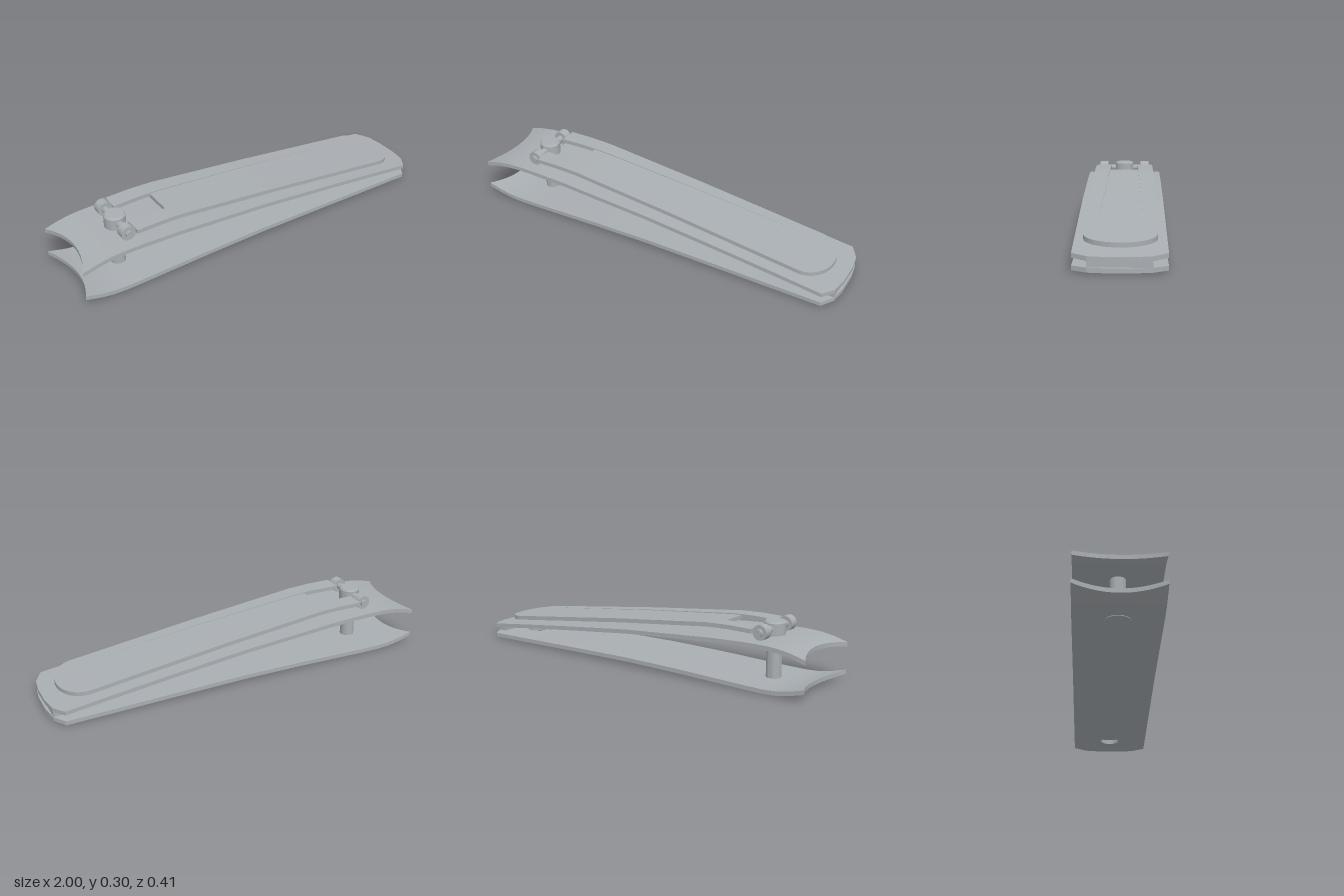
import * as THREE from 'three';
import { toCreasedNormals } from 'three/addons/utils/BufferGeometryUtils.js';

const steel = new THREE.MeshStandardMaterial({ color: 0xa9aeb2 });
steel.name = 'steel';

const lerp = THREE.MathUtils.lerp;
const T = 0.021; // sheet thickness
const HALF = 0.206; // jaw half width
const POST_X = -0.725;

// height of a side profile at x
function heightAt(points, x) {
  let i = 0;
  while (i < points.length - 2 && x > points[i + 1][0]) i++;
  const [x0, y0] = points[i], [x1, y1] = points[i + 1];
  return lerp(y0, y1, (x - x0) / (x1 - x0));
}

function mesh(geometry, name) {
  const m = new THREE.Mesh(geometry, steel);
  m.name = name;
  return m;
}

// sheet of metal: place(u, v) gives [x, z], top(x) gives the upper surface
function sheet(name, nu, nv, place, top) {
  const g = new THREE.BoxGeometry(1, 1, 1, nu, 1, nv);
  const p = g.attributes.position;
  for (let i = 0; i < p.count; i++) {
    const [x, z] = place(p.getX(i) + 0.5, p.getZ(i) + 0.5);
    p.setXYZ(i, x, top(x) + (p.getY(i) - 0.5) * T, z);
  }
  return mesh(toCreasedNormals(g, 0.4), name);
}

// jaw: curved body with a concave cutting end, and a chamfered tip with a hole
function jaw(name, profile) {
  const group = new THREE.Group();
  group.name = name;
  const top = (x) => heightAt(profile, x);
  const seam = 0.7;
  group.add(sheet(name + 'Body', 48, 24, (u, v) => {
    const s = v * 2 - 1;
    return [lerp(-0.945 - 0.055 * s * s, seam, u), s * HALF];
  }, top));

  const shape = new THREE.Shape();
  shape.moveTo(seam, -HALF);
  for (const [x, z] of [[0.945, -HALF], [0.988, -0.14], [1, -0.06], [1, 0.06], [0.988, 0.14], [0.945, HALF], [seam, HALF]]) shape.lineTo(x, z);
  shape.closePath();
  shape.holes.push(new THREE.Path().absarc(0.82, 0, 0.05, 0, Math.PI * 2, true));
  const g = new THREE.ExtrudeGeometry(shape, { depth: T, bevelEnabled: false, curveSegments: 24 });
  g.rotateX(-Math.PI / 2);
  const p = g.attributes.position;
  for (let i = 0; i < p.count; i++) p.setY(i, p.getY(i) - T + top(p.getX(i)));
  group.add(mesh(toCreasedNormals(g, 0.4), name + 'Tip'));
  return group;
}

// lever: two side rails forming a fork, and a slightly sunken centre panel
function lever() {
  const group = new THREE.Group();
  group.name = 'lever';
  const W = 0.162, back = -0.69, slotEnd = -0.49;
  const railTop = (x) => heightAt([[-0.7, 0.283], [-0.56, 0.285], [-0.45, 0.281], [0.1, 0.222], [0.925, 0.121]], x);
  const panelTop = (x) => railTop(x) - 0.005 * Math.max(0, (0.8 - x) / 1.3);
  const inner = (x) => lerp(0.073, 0.112, (x - back) / 1.6);
  const tip = (z) => 0.8 + 0.125 * Math.sqrt(Math.max(0, 1 - (z / W) ** 2));
  for (const side of [-1, 1]) {
    group.add(sheet(side > 0 ? 'frontRail' : 'backRail', 24, 10, (u, v) => {
      const out = side > 0 ? v : 1 - v; // 0 at the panel, 1 at the outer edge
      const k = Math.sin(out * Math.PI / 2);
      const x = lerp(back, tip(lerp(0.112, W, k)), u);
      return [x, side * lerp(inner(x), W, k)];
    }, railTop));
  }
  group.add(sheet('centrePanel', 24, 12, (u, v) => {
    const s = v * 2 - 1;
    const x = lerp(slotEnd, tip(0.112 * s), u);
    return [x, s * inner(x)];
  }, panelTop));
  return group;
}

// hinge post: foot disc, stem and chamfered head in one turned profile
function post() {
  const profile = [[0, 0], [0.06, 0], [0.06, 0.008], [0.037, 0.008], [0.037, 0.235],
    [0.053, 0.235], [0.053, 0.293], [0.045, 0.302], [0, 0.302]];
  const g = new THREE.LatheGeometry(profile.map(([r, y]) => new THREE.Vector2(r, y)), 32);
  const m = mesh(toCreasedNormals(g, 0.4), 'hingePost');
  m.position.x = POST_X;
  return m;
}

function crossRod(name, radius, length, z) {
  const m = mesh(new THREE.CylinderGeometry(radius, radius, length, 24), name);
  m.rotation.x = Math.PI / 2;
  m.position.set(POST_X, 0.266, z);
  return m;
}

export function createModel() {
  const model = new THREE.Group();
  model.name = 'nailClipper';
  model.add(jaw('lowerJaw', [[-1, 0.06], [-0.93, 0.041], [-0.87, 0.029], [-0.8, 0.024], [-0.7, 0.025],
    [-0.3, 0.036], [0, 0.04], [0.4, 0.035], [0.7, 0.03], [1, 0.026]]));
  model.add(jaw('upperJaw', [[-1, 0.195], [-0.93, 0.214], [-0.87, 0.225], [-0.8, 0.23], [-0.7, 0.23],
    [-0.5, 0.222], [0, 0.186], [0.4, 0.144], [0.7, 0.11], [1, 0.074]]));

  // block joining the jaws
  const spacer = mesh(new THREE.BoxGeometry(0.044, 0.036, 0.28), 'spacer');
  spacer.position.set(0.964, 0.04, 0);
  model.add(spacer, lever(), post());

  // hinge pin and its two knobs
  model.add(crossRod('hingePin', 0.018, 0.31, 0));
  for (const side of [-1, 1]) model.add(crossRod(side > 0 ? 'frontKnob' : 'backKnob', 0.037, 0.046, side * 0.118));
  return model;
}
